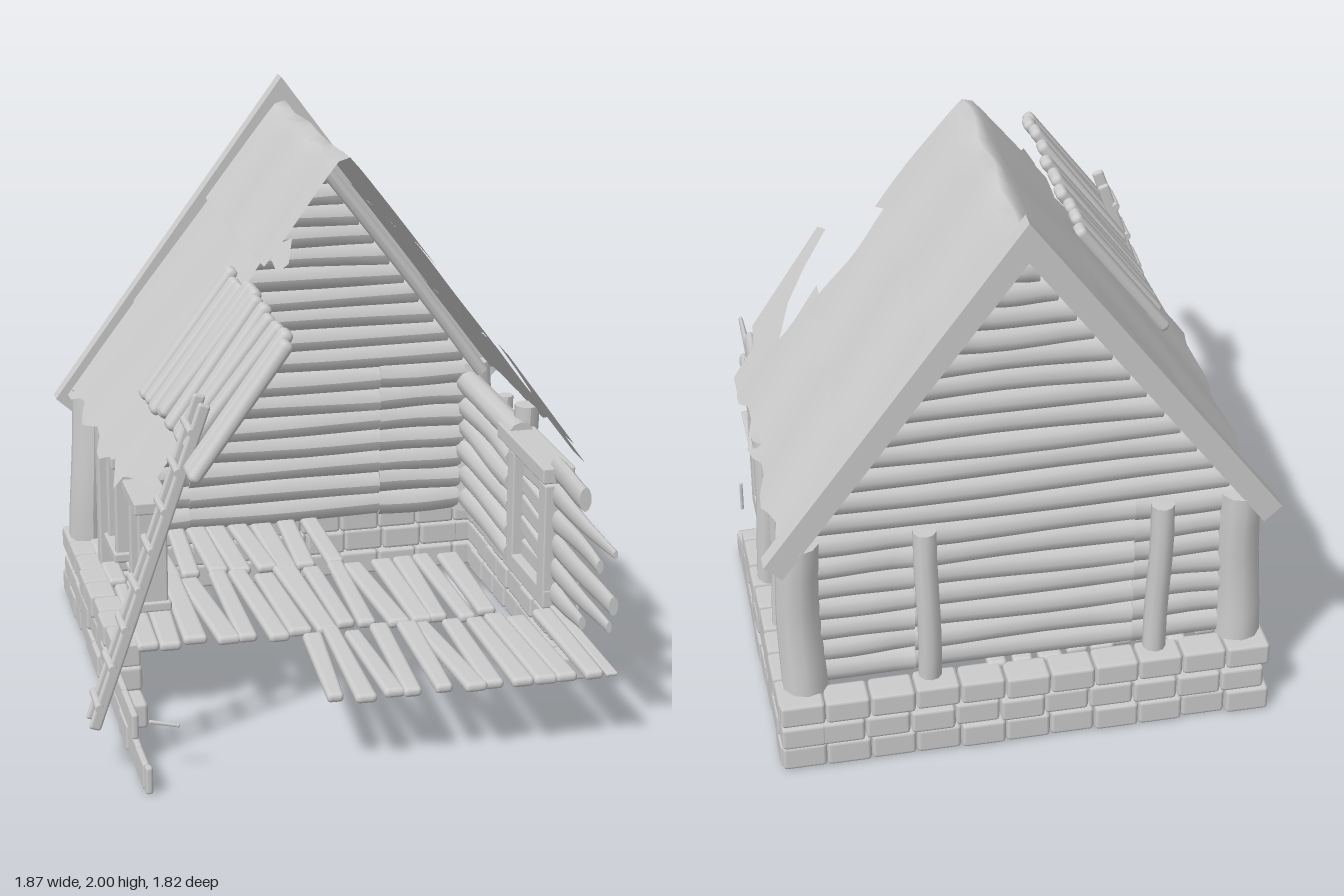
import * as THREE from 'three';
import { RoundedBoxGeometry } from 'three/addons/geometries/RoundedBoxGeometry.js';

const CX = 0.07;      // x of the ridge
const SLOPE = 1.35;   // roof drop per unit of x
const TOP = 1.92;     // ridge height

export function createModel() {
  const root = new THREE.Group();
  const mat = new THREE.MeshStandardMaterial({ color: 0xcccccc });
  const thin = new THREE.MeshStandardMaterial({ color: 0xcccccc, side: THREE.DoubleSide });
  const V = (x, y, z) => new THREE.Vector3(x, y, z);
  let seed = 7;
  const rnd = (k = 1) => {
    seed = (seed * 16807) % 2147483647;
    return (seed / 2147483647 - 0.5) * 2 * k;
  };
  const group = (name) => {
    const g = new THREE.Group();
    g.name = name;
    root.add(g);
    return g;
  };
  const add = (parent, name, geo, material = mat) => {
    const m = new THREE.Mesh(geo, material);
    m.name = name;
    parent.add(m);
    return m;
  };
  const box = (parent, name, w, h, d, x, y, z, r = 0.008) => {
    const m = add(parent, name, new RoundedBoxGeometry(w, h, d, 1, Math.min(r, w * 0.4, h * 0.4, d * 0.4)));
    m.position.set(x, y, z);
    return m;
  };
  // uneven round log from a to b
  const log = (parent, name, a, b, r0, r1 = r0, wob = 0.006) => {
    const len = a.distanceTo(b);
    const geo = new THREE.CylinderGeometry(r1, r0, len, 10, 5);
    const p = geo.attributes.position;
    const px = rnd(3), pz = rnd(3);
    for (let i = 0; i < p.count; i++) {
      const t = p.getY(i) / len * 4;
      p.setX(i, p.getX(i) + wob * Math.sin(t + px));
      p.setZ(i, p.getZ(i) + wob * Math.sin(t * 1.3 + pz));
    }
    geo.computeVertexNormals();
    const m = add(parent, name, geo);
    m.position.copy(a).lerp(b, 0.5);
    m.quaternion.setFromUnitVectors(V(0, 1, 0), b.clone().sub(a).normalize());
    return m;
  };
  // bent plank from a to b, with w measured along the side vector
  const plank = (parent, name, a, b, w, th, side) => {
    const len = a.distanceTo(b);
    const geo = new RoundedBoxGeometry(w, len, th, 3, th * 0.45);
    const p = geo.attributes.position;
    const bend = rnd(0.015), taper = rnd(0.12);
    for (let i = 0; i < p.count; i++) {
      const t = p.getY(i) / len * 2;
      p.setX(i, p.getX(i) * (1 + taper * t) + bend * t);
      p.setZ(i, p.getZ(i) + bend * 0.4 * t * t);
    }
    geo.computeVertexNormals();
    const m = add(parent, name, geo);
    const y = b.clone().sub(a).normalize();
    const z = side.clone().cross(y).normalize();
    m.quaternion.setFromRotationMatrix(new THREE.Matrix4().makeBasis(y.clone().cross(z), y, z));
    m.position.copy(a).lerp(b, 0.5);
  };

  // stone foundation, stepped down towards the front
  const stones = group('foundation');
  const rows = [{ y: 0, h: 0.095, l: 0.9, r: 0.38 }, { y: 0.095, h: 0.09, l: 0.68, r: 0.24 }, { y: 0.185, h: 0.088, l: 0.3, r: 0.14 }];
  rows.forEach((row, j) => {
    const y = row.y + row.h / 2;
    for (let i = 0; i < 11; i++) {
      const w = 1.7 / 11;
      const x = CX - 0.85 + w * (i + 0.5) + (j % 2 ? 0.02 : 0);
      box(stones, 'backStone', w - 0.003, row.h, 0.11, Math.min(x, 0.84), y, -0.845 + rnd(0.008), 0.014);
    }
    for (const s of [-1, 1]) {
      const end = s > 0 ? row.r : row.l;
      let z = -0.88 + (j % 2) * 0.05;
      while (z < end - 0.015) {
        const d = Math.min(0.14 + rnd(0.02), end - z);
        const t = z > 0.28 ? 0.025 : 0.1;
        box(stones, 'sideStone', t, row.h + rnd(0.004), d - 0.003, CX + s * (0.85 - t / 2 + rnd(0.006)), y, z + d / 2, 0.014);
        z += d;
      }
    }
  });

  // floor planks in rows, with the back +x corner left open
  const floor = group('floor');
  const floorRow = (x0, x1, z0, z1, n) => {
    for (let i = 0; i < n; i++) {
      const x = x0 + (x1 - x0) * (i + 0.5) / n;
      plank(floor, 'floorPlank', V(x + rnd(0.015), 0.262 + rnd(0.006), z0 + rnd(0.03)), V(x + rnd(0.015), 0.262 + rnd(0.006), z1 + rnd(0.02)),
        (x1 - x0) / n * (0.84 + rnd(0.12)), 0.034, V(1, 0, 0));
    }
  };
  floorRow(-0.15, 0.79, 0.34, 0.89, 11);
  floorRow(-0.7, 0.62, -0.27, 0.32, 15);
  floorRow(-0.7, 0.2, -0.79, -0.28, 10);

  // back wall in three log lengths per course, and gable logs
  const back = group('backWall');
  for (let i = 0; i < 7; i++) {
    const y = 0.315 + i * 0.085;
    for (const [x0, x1] of [[-0.66, -0.31], [-0.31, 0.44], [0.44, 0.8]]) {
      log(back, 'wallLog', V(x0, y + rnd(0.005), -0.755), V(x1, y + rnd(0.005), -0.755), 0.051, 0.051, 0.004).scale.z = 0.8;
    }
  }
  for (let i = 0; i < 12; i++) {
    const y = 0.915 + i * 0.08;
    const hw = (TOP - y) / SLOPE - 0.045;
    log(back, 'gableLog', V(CX - hw, y, -0.76), V(CX + hw, y, -0.76), 0.049, 0.049, 0.005).scale.z = 0.8;
  }
  for (const x of [-0.39, 0.4]) log(back, 'backPost', V(x, 0.27, -0.815), V(x, 0.87, -0.815), 0.04);
  for (const s of [-1, 1]) log(back, 'cornerPost', V(CX + s * 0.75, 0.26, -0.77), V(CX + s * 0.75, 0.86, -0.77), 0.08, 0.07, 0.008);

  // log wall on the +x side with broken, split front ends
  const wall = group('sideWall');
  // each broken log: front end z, tip radius
  const ends = [[0.6, 0.025], [0.86, 0.02], [0.9, 0.034], [0.76, 0.025], [0.9, 0.016], [0.6, 0.044]];
  ends.forEach(([end, tip], i) => {
    const y = 0.32 + i * 0.092;
    log(wall, 'sideLog', V(0.8, y, -0.74), V(0.8, y, -0.1), 0.049);
    log(wall, 'brokenLog', V(0.81, y, 0.28), V(0.81, y, end), 0.046, tip, 0.004).scale.x = 0.5;
  });
  plank(wall, 'sillSplinter', V(0.81, 0.27, 0.3), V(0.81, 0.265, 0.91), 0.04, 0.014, V(1, 0, 0));
  log(wall, 'sidePost', V(0.85, 0.27, -0.17), V(0.85, 0.87, -0.17), 0.046);
  log(wall, 'thinPost', V(0.85, 0.27, -0.43), V(0.85, 0.82, -0.43), 0.03);

  // door in the side wall
  const door = group('sideDoor');
  for (const z of [0.28, -0.08]) box(door, 'doorJamb', 0.1, 0.46, 0.075, 0.81, 0.5, z);
  box(door, 'doorLintel', 0.12, 0.06, 0.54, 0.81, 0.765, 0.05);
  box(door, 'doorSill', 0.1, 0.07, 0.44, 0.81, 0.3, 0.1);
  for (let i = 0; i < 5; i++) {
    const y = 0.36 + i * 0.08;
    plank(door, 'doorBoard', V(0.81, y + rnd(0.004), -0.045), V(0.81, y + rnd(0.004), 0.23), 0.074, 0.03, V(0, 1, 0));
    for (const z of [-0.01, 0.05, 0.15, 0.2]) {
      const stud = add(door, 'doorStud', new THREE.SphereGeometry(0.009, 8, 6));
      stud.position.set(0.828, y, z);
    }
  }
  const ring = add(door, 'doorRing', new THREE.TorusGeometry(0.028, 0.006, 8, 16));
  ring.position.set(0.84, 0.5, 0.1);
  ring.rotation.y = Math.PI / 2;

  // post and empty window frames hanging on the -x side
  const frames = group('windowFrames');
  box(frames, 'plankPost', 0.1, 0.58, 0.06, -0.65, 0.56, -0.48);
  for (const z of [-0.17, 0.3]) {
    for (const s of [-1, 1]) box(frames, 'frameJamb', 0.1, 0.36, 0.035, -0.65, 0.62, z + s * 0.085);
    box(frames, 'frameLintel', 0.13, 0.045, 0.25, -0.65, 0.81, z);
    box(frames, 'frameSill', 0.12, 0.035, 0.23, -0.65, 0.45, z);
    box(frames, 'frameBar', 0.025, 0.025, 0.15, -0.65, 0.6, z);
    box(frames, 'frameMullion', 0.025, 0.34, 0.025, -0.65, 0.62, z);
  }

  // wavy roof sheets: a rounded ridge sheet, then two overlapping tiers on each slope
  const roof = group('roof');
  const tier = (s, d0, d1, zEnd, lift) => {
    const geo = new THREE.PlaneGeometry(1, 1, 16, 14);
    const p = geo.attributes.position;
    const ph = rnd(3), inner = Math.max(d0, 0);
    for (let i = 0; i < p.count; i++) {
      const u = p.getX(i) + 0.5, v = p.getY(i) + 0.5;
      const d = d0 + u * (d1 - d0 + 0.018 * Math.sin(v * 19 + ph));
      const a = Math.abs(d);
      const z = -0.8 + v * (zEnd + 0.8 + (v > 0.99 ? 0.015 * Math.sin(u * 8 + ph) : 0));
      const y = TOP + 0.015 - SLOPE * Math.hypot(d, 0.015) + lift * (a - inner) / (d1 - inner)
        + 0.006 * Math.sin(v * 13 + u * 2 + ph);
      p.setXYZ(i, CX + s * d, y, z);
    }
    geo.computeVertexNormals();
    add(roof, 'roofSheet', geo, thin);
  };
  tier(1, -0.29, 0.3, 0.2, 0.012);
  tier(1, 0.26, 0.57, 0.13, 0.012);
  tier(1, 0.53, 0.82, 0.2, 0.012);
  tier(-1, 0.25, 0.58, 0.13, 0.012);
  tier(-1, 0.54, 0.81, 0.25, 0.012);

  // torn flaps lying in the roof plane, as outlines of [distance from ridge, z]
  const flap = (s, pts) => {
    const geo = new THREE.ShapeGeometry(new THREE.Shape(pts.map((q) => new THREE.Vector2(...q))));
    const p = geo.attributes.position;
    for (let i = 0; i < p.count; i++) {
      const d = p.getX(i), z = p.getY(i);
      p.setXYZ(i, CX + s * d, TOP + 0.01 - SLOPE * d, z);
    }
    geo.computeVertexNormals();
    add(roof, 'tornFlap', geo, thin);
  };
  flap(1, [[0.68, 0.18], [0.62, 0.33], [0.55, 0.4], [0.46, 0.45], [0.48, 0.52], [0.74, 0.46], [0.75, 0.34], [0.83, 0.32], [0.83, 0.2]]);
  flap(-1, [[0.6, 0.2], [0.62, 0.38], [0.52, 0.51], [0.74, 0.52], [0.78, 0.28], [0.8, 0.2]]);
  flap(-1, [[0.22, 0.18], [0.2, 0.24], [0.24, 0.36], [0.27, 0.32], [0.26, 0.18]]);

  // bargeboards at the back gable
  for (const s of [-1, 1]) {
    const board = new THREE.Shape([[0, 2.0], [s * 0.87, 0.82], [s * 0.81, 0.765], [0, 1.86]].map((q) => new THREE.Vector2(q[0], q[1])));
    const m = add(roof, 'bargeboard', new THREE.ExtrudeGeometry(board, { depth: 0.06, bevelEnabled: false }));
    m.position.set(CX, 0, -0.845);
    // rafter against the gable
    log(roof, 'rafter', V(CX + s * 0.04, 1.81, -0.68), V(CX + s * 0.76, 0.84, -0.68), 0.025);
  }

  // loose planks up the -x slope
  const loose = group('roofPlanks');
  for (const z of [-0.02, 0.07, 0.16, 0.23, 0.29, 0.37, 0.47, 0.57, 0.67, 0.77, 0.84]) {
    const j = rnd(0.015), k = rnd(0.015);
    plank(loose, 'roofPlank', V(-0.59 + j, 1.07 + j * SLOPE, z + rnd(0.015)), V(-0.275 + k, 1.495 + k * SLOPE, z + rnd(0.015)), 0.07, 0.044, V(0, 0, 1));
  }

  // ladder leaning on the -x side
  const ladder = group('ladder');
  const foot = V(-0.91, 0.17, 0), head = V(-0.53, 1.27, 0);
  for (const z of [0.64, 0.735]) plank(ladder, 'ladderRail', foot.clone().setZ(z), head.clone().setZ(z), 0.02, 0.042, V(0, 0, 1));
  for (let i = 0; i < 8; i++) {
    const c = foot.clone().lerp(head, 0.08 + i * 0.12);
    log(ladder, 'ladderRung', V(c.x - 0.018, c.y, 0.615), V(c.x - 0.018, c.y, 0.76), 0.014, 0.014, 0.001);
  }

  // stray splinters
  plank(floor, 'splinter', V(-0.74, 0.2, 0.78), V(-0.64, 0.18, 0.78), 0.012, 0.012, V(0, 0, 1));
  plank(floor, 'splinter', V(0.9, 0.24, 0.3), V(0.9, 0.36, 0.3), 0.012, 0.012, V(0, 0, 1));
  return root;
}
